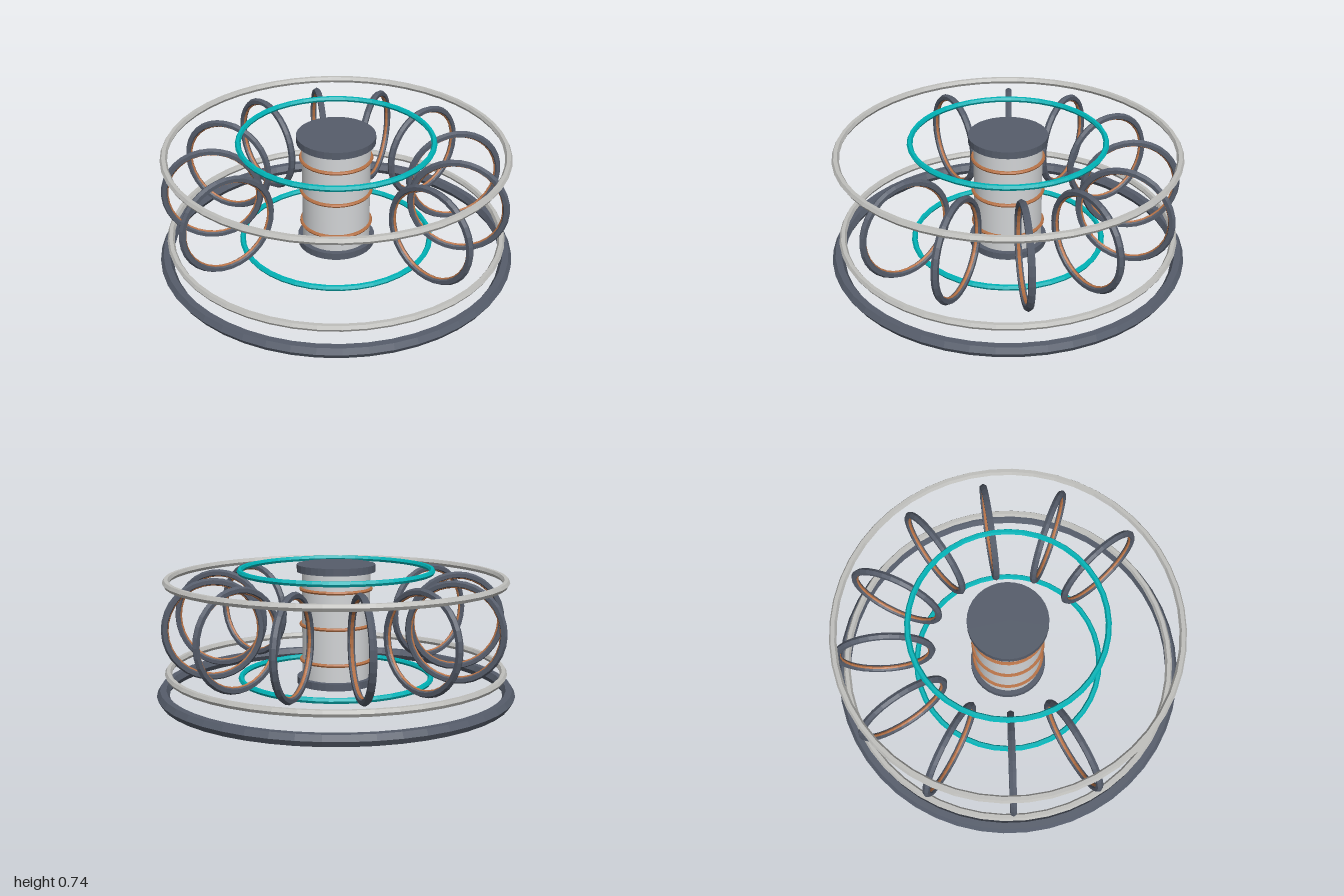
import * as THREE from 'three';

export function createModel() {
  const model = new THREE.Group();
  model.name = 'coilReactor';

  const makeMat = (name, color, flat = true) => {
    const m = new THREE.MeshStandardMaterial({ color, flatShading: flat });
    m.name = name;
    return m;
  };
  const slate = makeMat('slate', 0x565d6b);
  const silver = makeMat('silver', 0xbfbfbc);
  const pale = makeMat('paleMetal', 0xd2d4d6, false);
  const teal = makeMat('teal', 0x00b4b8);
  const copper = makeMat('copper', 0xb87347);

  const MID = 0.403; // height of the coil centres

  const add = (parent, name, geometry, material, y = 0) => {
    const mesh = new THREE.Mesh(geometry, material);
    mesh.name = name;
    mesh.position.y = y;
    parent.add(mesh);
    return mesh;
  };
  // horizontal hoop with a six-sided tube
  const hoop = (name, radius, tube, material, y, segments) =>
    add(model, name, new THREE.TorusGeometry(radius, tube, 6, segments).rotateX(-Math.PI / 2), material, y);

  // base ring on the ground
  hoop('baseRing', 0.965, 0.035, slate, 0.0303, 48);

  // central column with end caps and copper bands
  add(model, 'column', new THREE.CylinderGeometry(0.19, 0.19, 0.62, 32), pale, MID);
  for (const side of [-1, 1]) {
    const end = side > 0 ? 'upper' : 'lower';
    add(model, end + 'Cap', new THREE.CylinderGeometry(0.218, 0.218, 0.04, 32), slate, MID + side * 0.316);
    hoop(end + 'InnerRing', 0.533, 0.016, teal, MID + side * 0.302, 40);
    hoop(end + 'OuterRing', 0.933, 0.02, silver, MID + side * 0.253, 48);
  }
  for (const dy of [-0.2, 0, 0.2]) hoop('columnBand', 0.195, 0.01, copper, MID + dy, 32);

  // ten upright coils around the back and sides, leaving the front open
  const coilGeometry = new THREE.TorusGeometry(0.262, 0.02, 6, 32);
  const windingGeometry = new THREE.TorusGeometry(0.25, 0.0095, 6, 32);
  for (let i = 0; i < 10; i++) {
    const angle = THREE.MathUtils.degToRad(-39.6 + i * 28.8);
    const coil = new THREE.Group();
    coil.name = 'coil';
    coil.position.set(Math.cos(angle) * 0.687, MID, -Math.sin(angle) * 0.687);
    coil.rotation.y = angle;
    add(coil, 'coilCasing', coilGeometry, slate);
    add(coil, 'coilWinding', windingGeometry, copper);
    model.add(coil);
  }
  return model;
}
